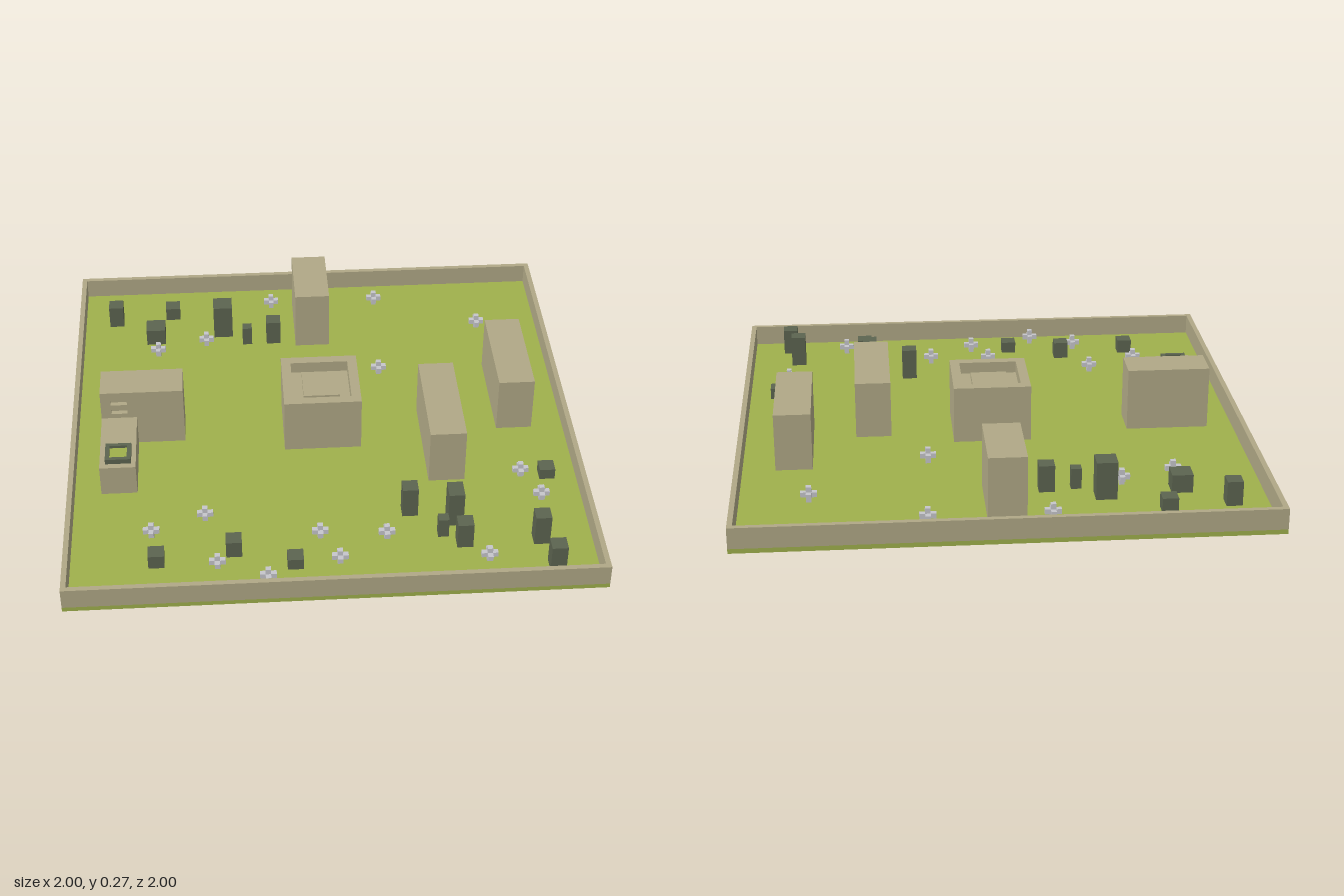
import * as THREE from 'three';

const material = (name, color) => {
  const m = new THREE.MeshStandardMaterial({ color });
  m.name = name;
  return m;
};

export function createModel() {
  const root = new THREE.Group();
  root.name = 'walledCourtyard';
  const stone = material('tan stone', 0xb0a886);
  const grass = material('grass green', 0x9fb04c);
  const dark = material('dark grey green', 0x5c6450);
  const pale = material('pale grey', 0xc6c6cb);
  const FLOOR = 0.018;

  // Box given by its minimum and maximum corners
  function block(name, mat, x0, x1, y0, y1, z0, z1, parent = root) {
    const mesh = new THREE.Mesh(new THREE.BoxGeometry(x1 - x0, y1 - y0, z1 - z0), mat);
    mesh.position.set((x0 + x1) / 2, (y0 + y1) / 2, (z0 + z1) / 2);
    mesh.name = name;
    parent.add(mesh);
    return mesh;
  }

  const rect = (C, x0, x1, y0, y1) => new C([
    new THREE.Vector2(x0, y0), new THREE.Vector2(x1, y0),
    new THREE.Vector2(x1, y1), new THREE.Vector2(x0, y1),
  ]);

  // Upright square tube centred on (x, z)
  function squareRing(name, mat, x, z, outer, inner, y0, y1) {
    const shape = rect(THREE.Shape, -outer, outer, -outer, outer);
    shape.holes.push(rect(THREE.Path, -inner, inner, -inner, inner));
    const geo = new THREE.ExtrudeGeometry(shape, { depth: y1 - y0, bevelEnabled: false });
    geo.rotateX(-Math.PI / 2);
    const mesh = new THREE.Mesh(geo, mat);
    mesh.position.set(x, y0, z);
    mesh.name = name;
    root.add(mesh);
  }

  // Ground and perimeter wall
  block('ground', grass, -1, 1, 0, FLOOR, -1, 1);
  squareRing('perimeterWall', stone, 0, 0, 1, 0.98, FLOOR, 0.1);

  // Central building with a sunken roof and a raised pad
  squareRing('centralRim', stone, 0, 0, 0.153, 0.115, FLOOR, 0.247);
  block('centralRoof', stone, -0.115, 0.115, FLOOR, 0.2, -0.115, 0.115);
  block('centralPad', stone, -0.072, 0.072, 0.2, 0.222, -0.072, 0.072);

  // Plain long buildings
  block('backBuilding', stone, -0.073, 0.071, FLOOR, 0.27, -0.855, -0.55);
  block('leftBuilding', stone, 0.71, 0.853, FLOOR, 0.248, -0.365, 0.07);
  block('middleBuilding', stone, 0.4, 0.541, FLOOR, 0.248, -0.077, 0.38);

  // L-shaped building: tall wing with two slots in its front, and a low wing
  block('tallWing', stone, -0.877, -0.55, FLOOR, 0.27, -0.077, 0.05);
  const facade = rect(THREE.Shape, -0.877, -0.55, FLOOR, 0.27);
  for (const y of [0.167, 0.21]) facade.holes.push(rect(THREE.Path, -0.838, -0.773, y, y + 0.021));
  const front = new THREE.Mesh(new THREE.ExtrudeGeometry(facade, { depth: 0.02, bevelEnabled: false }), stone);
  front.position.z = 0.05;
  front.name = 'tallWingFacade';
  root.add(front);
  block('lowWing', stone, -0.877, -0.737, FLOOR, 0.147, 0.07, 0.38);

  // Roof planter on the low wing
  squareRing('planterFrame', dark, -0.805, 0.306, 0.05, 0.034, 0.147, 0.168);
  block('planterGrass', grass, -0.839, -0.771, 0.147, 0.157, 0.272, 0.34);

  // Block-shaped shrubs: x, z, width, depth, top
  const shrubs = [
    [-0.845, -0.768, 0.06, 0.06, 0.115], [-0.6, -0.805, 0.06, 0.06, 0.075],
    [-0.672, -0.635, 0.08, 0.08, 0.09], [-0.382, -0.672, 0.08, 0.08, 0.168],
    [-0.28, -0.592, 0.04, 0.04, 0.1], [-0.167, -0.602, 0.06, 0.06, 0.125],
    [0.865, 0.368, 0.06, 0.06, 0.063], [0.306, 0.553, 0.06, 0.06, 0.146],
    [0.474, 0.607, 0.06, 0.08, 0.167], [0.42, 0.688, 0.04, 0.04, 0.1],
    [0.495, 0.741, 0.06, 0.06, 0.125], [0.785, 0.741, 0.06, 0.06, 0.146],
    [0.823, 0.886, 0.06, 0.06, 0.125], [-0.145, 0.822, 0.06, 0.06, 0.065],
    [-0.371, 0.741, 0.06, 0.06, 0.088], [-0.66, 0.784, 0.06, 0.06, 0.075],
  ];
  for (const [x, z, w, d, top] of shrubs) {
    block('shrub', dark, x - w / 2, x + w / 2, FLOOR, top, z - d / 2, z + d / 2);
  }

  // Pale flowers made of three crossed bars
  const flowers = [
    [-0.167, -0.848], [0.288, -0.848], [0.72, -0.642], [-0.662, -0.517],
    [-0.456, -0.58], [0.265, -0.334], [0.762, 0.368], [0.822, 0.512],
    [-0.476, 0.553], [-0.68, 0.637], [-0.044, 0.678], [0.206, 0.698],
    [-0.434, 0.822], [0.021, 0.822], [-0.249, 0.905], [0.576, 0.843],
  ];
  const L = 0.031, T = 0.01;
  for (const [x, z] of flowers) {
    const flower = new THREE.Group();
    flower.name = 'flower';
    flower.position.set(x, FLOOR + L, z);
    block('barX', pale, -L, L, -T, T, -T, T, flower);
    for (const s of [-1, 1]) {
      const [a, b] = s > 0 ? [T, L] : [-L, -T];
      block('armZ', pale, -T, T, -T, T, a, b, flower);
      block('armY', pale, -T, T, a, b, -T, T, flower);
    }
    root.add(flower);
  }
  return root;
}
